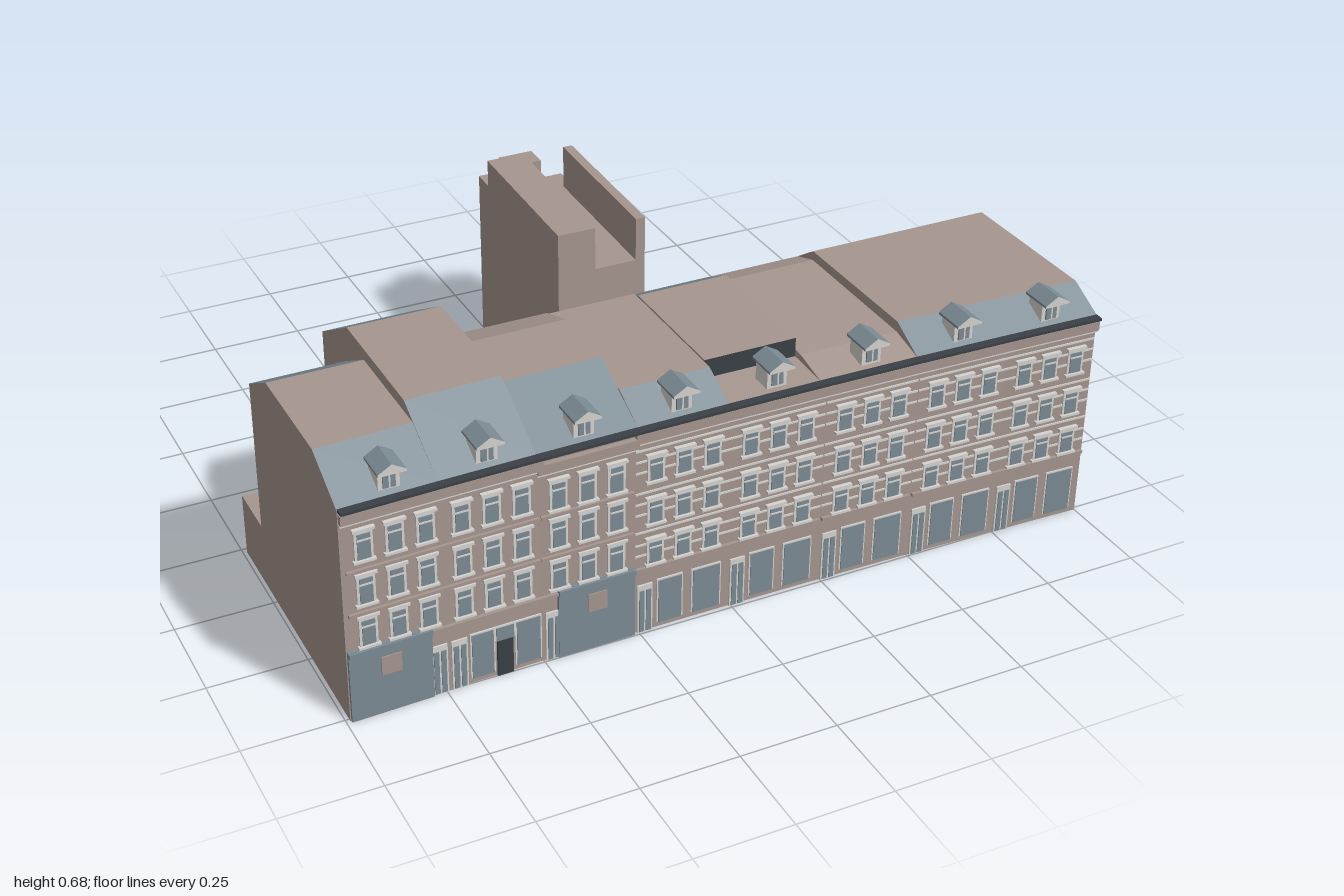
import * as THREE from 'three';

const mat = (name, color) => Object.assign(new THREE.MeshStandardMaterial({ color }), { name });
const stone = mat('taupe stone', 0xa6968f);
const slate = mat('slate blue', 0x7c8b94);
const trim = mat('pale trim', 0xd6d4d0);
const dark = mat('dark metal', 0x3a4046);
const unit = new THREE.BoxGeometry(1, 1, 1);

// The street front bows very slightly in plan
const bow = x => 0.02 * x * x;
const WALL = 0.738;

function box(parent, name, m, x0, x1, y0, y1, z0, z1) {
  const mesh = new THREE.Mesh(unit, m);
  mesh.name = name;
  mesh.scale.set(x1 - x0, y1 - y0, z1 - z0);
  mesh.position.set((x0 + x1) / 2, (y0 + y1) / 2, (z0 + z1) / 2);
  parent.add(mesh);
  return mesh;
}

// Thin plate lying on the street front, centred on x, y; out = how far it projects
function plate(parent, name, m, x, y, w, h, out) {
  const z = WALL + bow(x);
  const mesh = box(parent, name, m, x - w / 2, x + w / 2, y - h / 2, y + h / 2, z - 0.003, z + out);
  mesh.rotation.y = -Math.atan(0.04 * x);
  return mesh;
}

// House slice: a [z, y] profile carried from x0 to x1; mats gives a material
// (or a pair, split on the diagonal) for the face starting at each point
function slice(parent, name, x0, x1, profile, mats) {
  const parts = new Map();
  const at = (x, [z, y]) => [x, y, z > 0.5 ? z + bow(x) : z];
  const tri = (m, ...pts) => {
    if (!parts.has(m)) parts.set(m, []);
    pts.forEach(p => parts.get(m).push(...p));
  };
  profile.forEach((p, i) => {
    const q = profile[(i + 1) % profile.length];
    const [m, n] = [mats[i] || stone].flat().concat(mats[i] || stone);
    tri(m, at(x0, p), at(x1, p), at(x0, q));
    tri(n, at(x1, p), at(x1, q), at(x0, q));
  });
  const flat = profile.map(p => new THREE.Vector2(p[0], p[1]));
  for (const [a, b, c] of THREE.ShapeUtils.triangulateShape(flat, [])) {
    tri(stone, at(x0, profile[a]), at(x0, profile[b]), at(x0, profile[c]));
    tri(stone, at(x1, profile[c]), at(x1, profile[b]), at(x1, profile[a]));
  }
  const group = new THREE.Group();
  group.name = name;
  for (const [m, pos] of parts) {
    const g = new THREE.BufferGeometry();
    g.setAttribute('position', new THREE.Float32BufferAttribute(pos, 3));
    g.computeVertexNormals();
    const mesh = new THREE.Mesh(g, m);
    mesh.name = name + ' ' + m.name;
    group.add(mesh);
  }
  parent.add(group);
}

function frontWindow(parent, x, y, h) {
  const g = new THREE.Group();
  g.name = 'frontWindow';
  plate(g, 'frame', trim, x, y, 0.045, h, 0.005);
  plate(g, 'pane', slate, x, y - 0.002, 0.032, h - 0.014, 0.007);
  plate(g, 'transom', trim, x, y + h * 0.2, 0.034, 0.004, 0.009);
  plate(g, 'sill', trim, x, y - h / 2, 0.054, 0.006, 0.011);
  plate(g, 'lintel', trim, x, y + h / 2 + 0.003, 0.054, 0.007, 0.011);
  parent.add(g);
}

function door(parent, x) {
  plate(parent, 'doorFrame', trim, x, 0.068, 0.04, 0.136, 0.005);
  for (const s of [-1, 1]) plate(parent, 'doorLeaf', slate, x + s * 0.009, 0.062, 0.013, 0.118, 0.007);
}

function shopWindow(parent, x, w, y0 = 0.015) {
  plate(parent, 'shopFrame', trim, x, (y0 + 0.14) / 2, w + 0.008, 0.14 - y0, 0.004);
  plate(parent, 'shopPane', slate, x, (y0 + 0.136) / 2, w, 0.136 - y0, 0.006);
}

function dormer(parent, x) {
  const g = new THREE.Group();
  g.name = 'dormer';
  const z = 0.722 + bow(x);
  box(g, 'dormerBody', trim, -0.026, 0.026, 0.58, 0.637, -0.055, 0);
  box(g, 'dormerPane', slate, -0.015, 0.015, 0.588, 0.63, -0.002, 0.004);
  box(g, 'dormerMullion', trim, -0.002, 0.002, 0.588, 0.63, 0, 0.006);
  const shape = new THREE.Shape([[-0.034, 0.634], [0.034, 0.634], [0.034, 0.64], [0, 0.66], [-0.034, 0.64]]
    .map(p => new THREE.Vector2(...p)));
  const roof = new THREE.Mesh(new THREE.ExtrudeGeometry(shape, { depth: 0.085, bevelEnabled: false }), [trim, slate]);
  roof.name = 'dormerRoof';
  roof.position.z = -0.06;
  g.add(roof);
  g.position.set(x, 0, z);
  parent.add(g);
}

function backWindow(parent, x, y, z) {
  box(parent, 'backWindowFrame', trim, x - 0.022, x + 0.022, y - 0.033, y + 0.033, z - 0.003, z + 0.003);
  box(parent, 'backWindowPane', slate, x - 0.017, x + 0.017, y - 0.028, y + 0.028, z - 0.005, z);
}

export function createModel() {
  const model = new THREE.Group();
  model.name = 'terraceBlock';

  // House slices, from the right-hand end to the left-hand end
  const E = 0.575, B = 0.165;
  const front = [[WALL, 0], [WALL, E]];
  slice(model, 'endHouse', -0.99, -0.75,
    [...front, [0.595, 0.65], [0.3, 0.65], [B, E], [B, 0.17], [0.015, 0.17], [0.015, 0]], [, slate, , slate]);
  slice(model, 'tallHouse', -0.75, -0.51,
    [...front, [0.545, 0.68], [0.19, 0.68], [0.005, E], [0.005, 0]], [, slate, , slate]);
  slice(model, 'thirdHouse', -0.51, -0.255,
    [...front, [0.545, 0.663], [0.35, 0.663], [0.24, 0.625], [B, E], [B, 0]], [, slate]);
  slice(model, 'fourthHouse', -0.255, -0.02,
    [...front, [0.64, 0.625], [0.245, 0.625], [B, E], [B, 0]], [, slate, , [stone, slate]]);
  slice(model, 'terraceHouse', -0.02, 0.225,
    [...front, [0.615, 0.58], [0.615, 0.63], [0.265, 0.63], [B, E], [B, 0]], [, , dark, , slate]);
  slice(model, 'lowRoofHouse', 0.225, 0.49,
    [...front, [0.64, 0.597], [0.24, 0.6], [B, E], [B, 0]], []);
  for (const x of [0.49, 0.745])
    slice(model, 'lastHouse', x, x + 0.255,
      [...front, [0.64, 0.625], [0.24, 0.625], [B, E], [B, 0]], [, slate]);

  // Street front: three bays of windows per house, one dormer each
  const facade = new THREE.Group();
  facade.name = 'facade';
  model.add(facade);
  const bays = [-0.86, -0.625, -0.385, -0.135, 0.115, 0.37, 0.625, 0.873];
  bays.forEach((c, i) => {
    dormer(model, c);
    const plain = i < 3;
    const drop = i === 2 ? 0.012 : 0;
    for (const s of [-1, 0, 1])
      [0.47, 0.352, 0.238].forEach((y, k) =>
        frontWindow(facade, c + s * 0.074, plain ? y - drop * (k === 0) : y - 0.012, plain ? 0.08 : 0.07));
    // Cornice, frieze and gutter
    plate(facade, 'cornice', stone, c, 0.552 - drop, 0.256, 0.025, 0.014);
    plate(facade, 'corniceLine', trim, c, 0.535 - drop, 0.256, 0.005, 0.009);
    plate(facade, 'gutter', dark, c, 0.573, 0.256, 0.007, 0.02);
    plate(facade, 'stringCourse', stone, c, 0.182, 0.25, 0.008, 0.009);
    if (!plain) {
      // Pale banding and a regular shop bay
      for (const y of [0.512, 0.482, 0.452, 0.395, 0.365, 0.335, 0.285, 0.25, 0.22])
        plate(facade, 'paleBand', trim, c, y, 0.252, 0.005, 0.003);
      door(facade, c - 0.1);
      shopWindow(facade, c - 0.033, 0.062);
      shopWindow(facade, c + 0.065, 0.072);
    } else {
      for (const y of [0.405, 0.29]) plate(facade, 'sillBand', stone, c, y, 0.238, 0.008, 0.008);
    }
  });

  // Ground floors of the first three houses
  for (const [x, w] of [[-0.885, 0.205], [-0.363, 0.2]]) {
    plate(facade, 'slateShopfront', slate, x, 0.097, w, 0.194, 0.008);
    plate(facade, 'shopfrontFascia', slate, x, 0.186, w, 0.014, 0.015);
    plate(facade, 'shopSign', stone, x, 0.133, 0.05, 0.05, 0.011);
  }
  for (const x of [-0.765, -0.715, -0.475]) door(facade, x);
  shopWindow(facade, -0.657, 0.055);
  shopWindow(facade, -0.6, 0.045, 0.1);
  plate(facade, 'shopEntry', dark, -0.6, 0.05, 0.04, 0.1, 0.006);
  shopWindow(facade, -0.54, 0.06);

  // Rear windows
  const rear = new THREE.Group();
  rear.name = 'rearWindows';
  model.add(rear);
  for (const y of [0.47, 0.335, 0.205, 0.075]) {
    for (let i = 0; i < 8; i++) backWindow(rear, 0.3 + i * 0.093, y, B);
    for (const x of [-0.24, -0.34, -0.405, -0.47]) backWindow(rear, x, y, B);
    for (const x of [-0.7, -0.63, -0.56]) backWindow(rear, x, y, 0.005);
  }
  for (const x of [-0.94, -0.87, -0.8]) backWindow(rear, x, 0.09, 0.015);

  // Courtyard wing, leaning slightly sideways in plan
  const wing = new THREE.Group();
  wing.name = 'courtyardWing';
  const parts = [
    ['linkHigh', -0.033, 0.217, 0, 0.17, -0.035, 0.17],
    ['linkLow', -0.033, 0.217, 0, 0.112, -0.2, -0.035],
    ['wingBody', -0.033, 0.222, 0, 0.455, -0.77, -0.2],
    ['wingSlab', -0.033, 0.075, 0.455, 0.578, -0.7, -0.2],
    ['wingParapet', 0.195, 0.222, 0.455, 0.578, -0.69, -0.2],
    ['wingEnd', -0.033, 0.03, 0.455, 0.5, -0.77, -0.7],
    ['wingChimney', 0.03, 0.13, 0.455, 0.545, -0.77, -0.7],
  ];
  for (const [name, x0, x1, y0, y1, z0, z1] of parts) {
    const g = new THREE.BoxGeometry(x1 - x0, y1 - y0, z1 - z0);
    g.translate((x0 + x1) / 2, (y0 + y1) / 2, (z0 + z1) / 2);
    const p = g.attributes.position;
    for (let i = 0; i < p.count; i++) p.setX(i, p.getX(i) + (0.17 - p.getZ(i)) * 0.028);
    g.computeVertexNormals();
    const mesh = new THREE.Mesh(g, stone);
    mesh.name = name;
    wing.add(mesh);
  }
  for (const y of [0.42, 0.31, 0.2, 0.075]) backWindow(wing, 0.115, y, -0.77);
  model.add(wing);
  return model;
}
